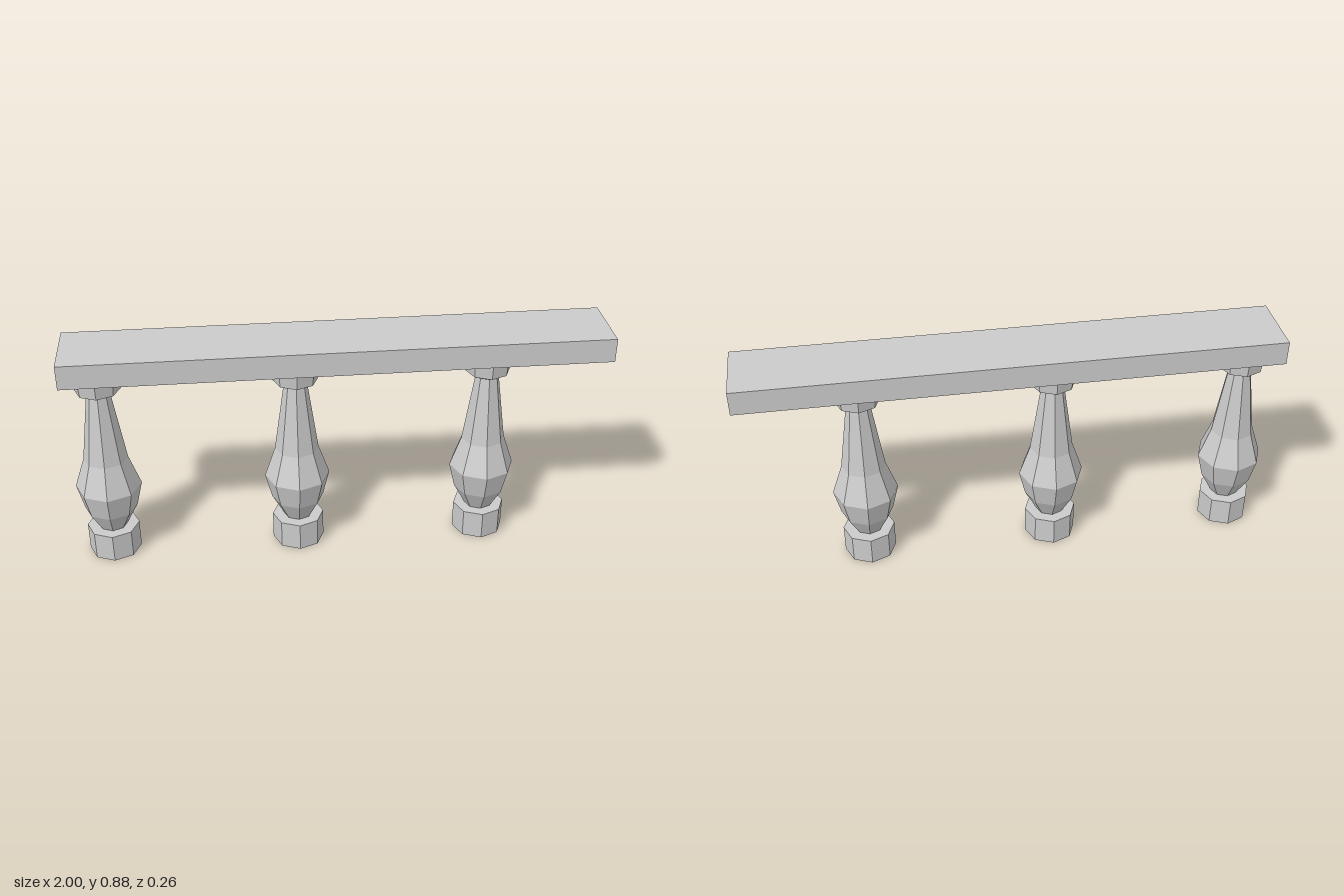
import * as THREE from 'three';

const material = new THREE.MeshStandardMaterial({
  color: 0xcccccc,
  flatShading: true,
  side: THREE.DoubleSide,
});

// Baluster profile: [radius, height], open at both ends
const PROFILE = [
  [0.099, 0], [0.099, 0.11],                  // plinth
  [0.055, 0.11], [0.1, 0.193],                // lower belly
  [0.124, 0.292], [0.083, 0.412],             // widest ring and shoulder
  [0.044, 0.685],                             // neck
  [0.084, 0.707], [0.092, 0.788],             // capital
];

// Rectangular tube along x, without end faces
function createRail(length, height, depth) {
  const geometry = new THREE.BoxGeometry(length, height, depth);
  geometry.setIndex(Array.from(geometry.index.array).slice(12));
  geometry.clearGroups();
  return new THREE.Mesh(geometry, material);
}

export function createModel() {
  const model = new THREE.Group();
  model.name = 'balustrade';

  // Hollow handrail
  const rail = createRail(2, 0.092, 0.264);
  rail.name = 'handrail';
  rail.position.y = 0.829;
  model.add(rail);

  // Three eight-sided balusters, evenly spaced from the left end of the front
  const points = PROFILE.map(([r, y]) => new THREE.Vector2(r, y));
  const balusterGeometry = new THREE.LatheGeometry(points, 8);
  for (let i = 0; i < 3; i++) {
    const baluster = new THREE.Mesh(balusterGeometry, material);
    baluster.name = `baluster${i + 1}`;
    baluster.position.x = -0.877 + i * 0.719;
    model.add(baluster);
  }

  return model;
}
